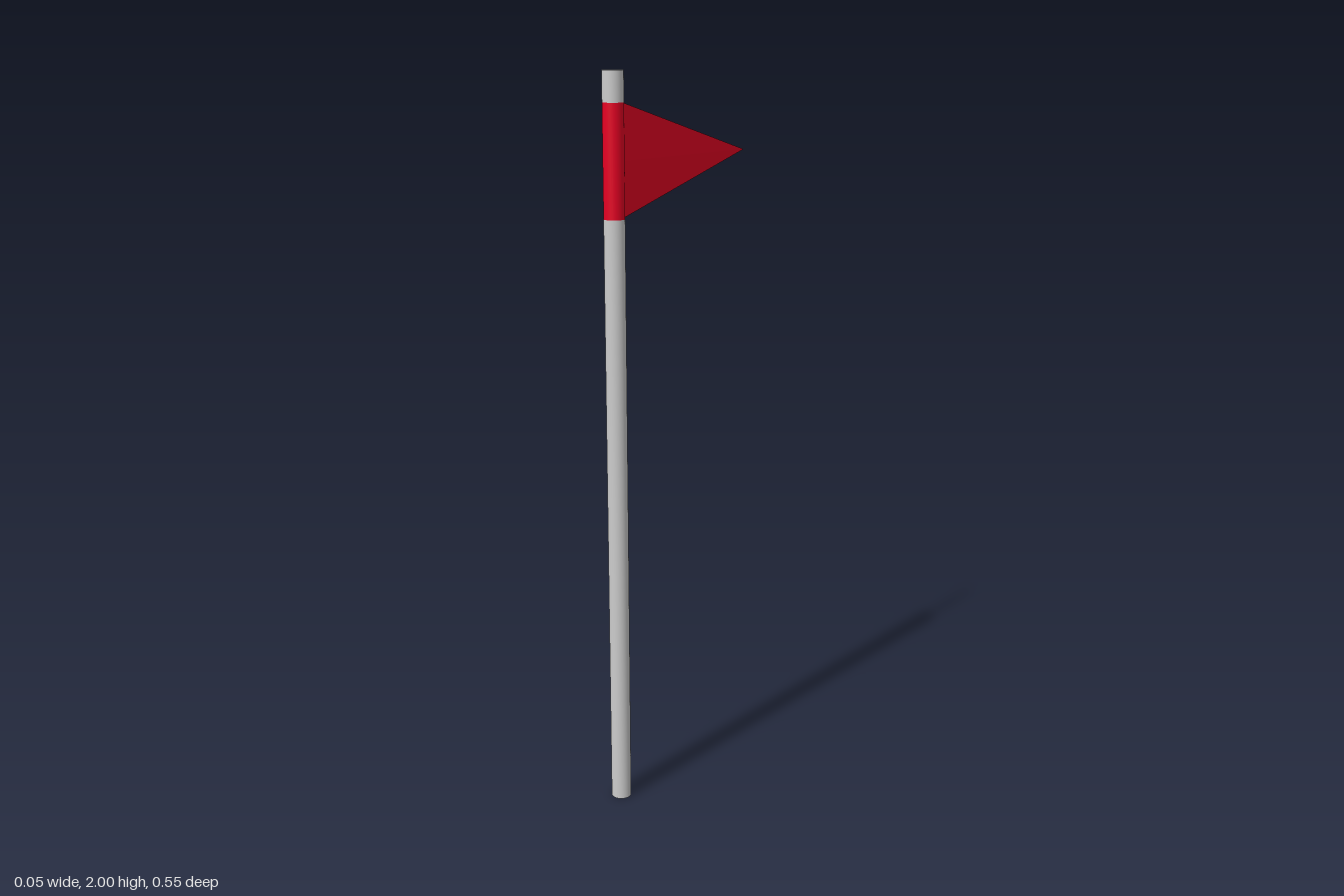
import * as THREE from 'three';

const RADIUS = 0.0275, POLE_Z = 0.2475;
const BAND_LOW = 1.634, BAND_HIGH = 1.922;

// Wedge pennant: a hexagonal section at the pole tapering to a thin blunt tip
function pennantGeometry() {
  const mid = (BAND_LOW + BAND_HIGH) / 2, half = (BAND_HIGH - BAND_LOW) / 2;
  const section = (z, h, edge, belly) => [
    [edge, mid + h, z], [-edge, mid + h, z], [-belly, mid, z],
    [-edge, mid - h, z], [edge, mid - h, z], [belly, mid, z],
  ];
  const root = section(0.224, half, 0.0075, 0.0105);
  const tip = section(-0.275, 0.001, 0.005, 0.005);
  const points = [];
  for (let i = 0; i < 6; i++) {
    const j = (i + 1) % 6;
    // Sides
    points.push(root[i], tip[i], tip[j], root[i], tip[j], root[j]);
    // End caps
    if (i > 0 && i < 5) {
      points.push(root[0], root[i], root[j]);
      points.push(tip[0], tip[j], tip[i]);
    }
  }
  const geometry = new THREE.BufferGeometry();
  geometry.setAttribute('position', new THREE.Float32BufferAttribute(points.flat(), 3));
  geometry.computeVertexNormals();
  return geometry;
}

export function createModel() {
  const model = new THREE.Group();
  model.name = 'pennantFlag';
  const grey = new THREE.MeshStandardMaterial({ color: 0xcccccc });
  const red = new THREE.MeshStandardMaterial({ color: 0xe60023 });

  // Pole in flush sections, with the coloured band holding the pennant
  const addSection = (name, low, high, material) => {
    const geometry = new THREE.CylinderGeometry(RADIUS, RADIUS, high - low, 32);
    const mesh = new THREE.Mesh(geometry, material);
    mesh.name = name;
    mesh.position.set(0, (low + high) / 2, POLE_Z);
    model.add(mesh);
  };
  addSection('pole', 0, BAND_LOW, grey);
  addSection('flagSleeve', BAND_LOW, BAND_HIGH, red);
  addSection('poleTop', BAND_HIGH, 2, grey);

  // Triangular flag
  const flag = new THREE.Mesh(pennantGeometry(), red);
  flag.name = 'pennant';
  model.add(flag);
  return model;
}
